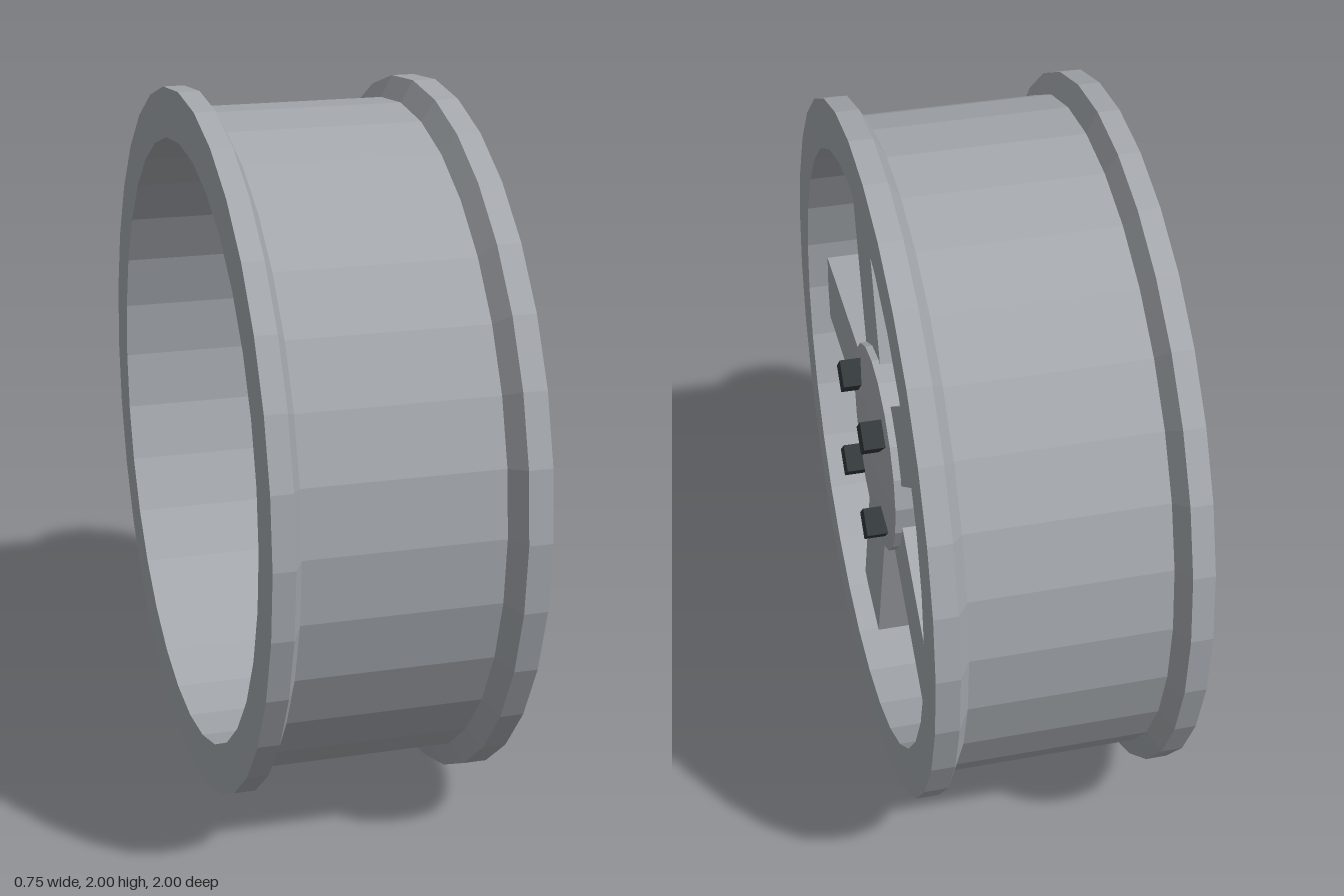
import * as THREE from 'three';

const metal = new THREE.MeshStandardMaterial({ color: 0xa4a8ad });
metal.name = 'grey metal';
const dark = new THREE.MeshStandardMaterial({ color: 0x33393c });
dark.name = 'dark bolt metal';

// Gives every face its own flat normal
function faceted(geometry) {
  const flat = geometry.toNonIndexed();
  flat.computeVertexNormals();
  return flat;
}

// Profile of [radius, x] points turned around the x axis
function turned(profile, sides) {
  const points = profile.map(([r, x]) => new THREE.Vector2(r, x));
  return faceted(new THREE.LatheGeometry(points, sides).rotateZ(-Math.PI / 2));
}

function addMesh(parent, name, geometry, material) {
  const mesh = new THREE.Mesh(geometry, material);
  mesh.name = name;
  parent.add(mesh);
  return mesh;
}

export function createModel() {
  const model = new THREE.Group();
  model.name = 'wheelRim';
  const wheel = new THREE.Group();
  wheel.name = 'wheel';
  wheel.position.y = 1;
  model.add(wheel);

  // Barrel with a raised flange on each edge
  addMesh(wheel, 'rim', turned([
    [0.86, -0.38], [1, -0.38], [1, -0.32], [0.94, -0.29],
    [0.94, 0.25], [1, 0.285], [1, 0.35], [0.86, 0.35], [0.86, -0.38],
  ], 32), metal);

  // Hub with a shallow domed front
  addMesh(wheel, 'hub', turned([
    [0, 0.07], [0.3, 0.07], [0.3, 0.31], [0.15, 0.328], [0, 0.33],
  ], 20), metal);

  // Five spokes, the first pointing to the front
  for (let i = 0; i < 5; i++) {
    const geometry = new THREE.BoxGeometry(0.145, 0.22, 0.67);
    geometry.translate(0.217, 0, 0.535);
    addMesh(wheel, 'spoke', geometry, metal).rotation.x = (i * Math.PI * 2) / 5;
  }

  // Four square bolts standing on their corners
  for (const y of [-1, 1]) {
    for (const z of [-1, 1]) {
      const bolt = addMesh(wheel, 'bolt', new THREE.BoxGeometry(0.085, 0.079, 0.079), dark);
      bolt.position.set(0.3325, y * 0.152, z * 0.152);
      bolt.rotation.x = Math.PI / 4;
    }
  }

  return model;
}
